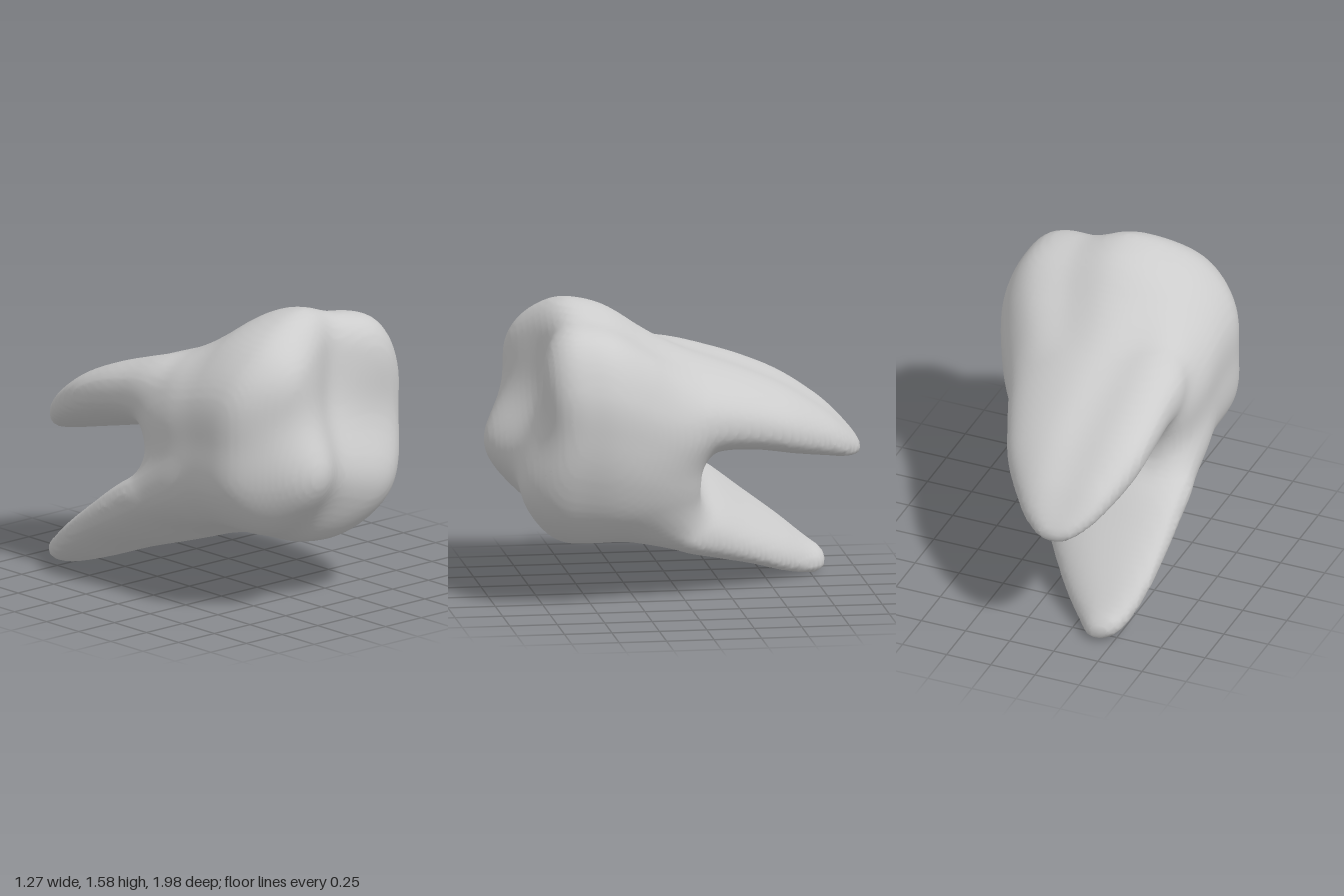
import * as THREE from 'three';

// Smooth intersection and union of signed fields
const smax = (a, b, k) => {
  const h = Math.max(k - Math.abs(a - b), 0) / k;
  return Math.max(a, b) + h * h * k / 4;
};
const smin = (a, b, k) => -smax(-a, -b, k);
const bump = (d2, s) => Math.exp(-d2 / (s * s));

// Sections along z: [z, xLeft, xRight, yLow, yHigh]
const crownSections = [
  [-0.2, -0.48, 0.26, 0.38, 1.12], [0, -0.56, 0.41, 0.3, 1.26], [0.2, -0.6, 0.55, 0.3, 1.41],
  [0.4, -0.6, 0.63, 0.3, 1.54], [0.6, -0.6, 0.63, 0.3, 1.585], [0.8, -0.58, 0.62, 0.33, 1.56],
  [1.0, -0.5, 0.57, 0.42, 1.5],
];
const upperRootSections = [
  [-1.0, -0.32, -0.18, 0.65, 0.74], [-0.9, -0.42, -0.05, 0.66, 0.85], [-0.8, -0.48, 0.04, 0.68, 0.94],
  [-0.6, -0.55, 0.18, 0.72, 1.07], [-0.4, -0.57, 0.27, 0.76, 1.16], [-0.2, -0.57, 0.35, 0.77, 1.23],
  [0, -0.57, 0.43, 0.72, 1.29], [0.3, -0.5, 0.45, 0.7, 1.35],
];
const lowerRootSections = [
  [-0.84, -0.49, -0.37, 0.01, 0.1], [-0.75, -0.55, -0.3, 0, 0.16], [-0.6, -0.6, -0.16, 0.04, 0.28],
  [-0.4, -0.625, 0, 0.115, 0.43], [-0.2, -0.63, 0.14, 0.175, 0.58], [0, -0.62, 0.27, 0.24, 0.68],
  [0.3, -0.5, 0.25, 0.36, 0.75],
];

// Crown outline: relative radius at sixteen equal angles
const outline = [1, 1.07, 1.1, 0.965, 0.99, 0.99, 1.02, 1.045, 1, 1.05, 1.02, 0.94, 0.98, 1.04, 1.04, 1];
function outlineRadius(angle) {
  const t = ((angle / (2 * Math.PI) + 1) % 1) * 16;
  const i = Math.floor(t), f = t - i;
  const [a, b, c, d] = [15, 0, 1, 2].map((o) => outline[(i + o) % 16]);
  return b + 0.5 * f * (c - a + f * (2 * a - 5 * b + 4 * c - d + f * (3 * (b - c) + d - a)));
}

// Centre and half sizes of the section at z, eased smoothly between stations
function sectionAt(table, z) {
  let i = 0;
  while (i < table.length - 2 && z > table[i + 1][0]) i++;
  const p = table[i], q = table[i + 1];
  const o = table[Math.max(i - 1, 0)], r = table[Math.min(i + 2, table.length - 1)];
  const dz = q[0] - p[0];
  const t = THREE.MathUtils.clamp((z - p[0]) / dz, 0, 1);
  const [, left, right, low, high] = p.map((v, j) => {
    const m0 = (q[j] - o[j]) / (q[0] - o[0]) * dz, m1 = (r[j] - v) / (r[0] - p[0]) * dz;
    const d = q[j] - v;
    return v + t * (m0 + t * (3 * d - 2 * m0 - m1 + t * (m0 + m1 - 2 * d)));
  });
  return { cx: (left + right) / 2, cy: (low + high) / 2, rx: (right - left) / 2, ry: (high - low) / 2 };
}

// Chewing surface: four cusps [x, y, height, spread] and a slanting groove
const cusps = [[-0.3, 1.3, 0.16, 0.32], [-0.2, 0.77, 0.28, 0.3], [0.33, 0.65, 0.16, 0.3], [0.42, 1.25, 0.06, 0.28]];
function biteHeight(x, y) {
  let h = 0.7;
  for (const [cx, cy, height, s] of cusps) h += height * bump((x - cx) ** 2 + (y - cy) ** 2, s);
  const groove = x - 0.14 + 0.25 * (1.4 - y);
  return h - 0.035 * bump(groove * groove, 0.14);
}

function crown(x, y, z) {
  const s = sectionAt(crownSections, z);
  const u = (x - s.cx) / s.rx, v = (y - s.cy) / s.ry;
  const side = (Math.hypot(u, v) / outlineRadius(Math.atan2(v, u)) - 1) * 0.6;
  const front = smax(side, z - biteHeight(x, y), 0.17);
  return smax(front, -0.09 - z, 0.15);
}

// Broad tapering root: slope tilts the section, groove dents its upper face
function root(table, slope, groove, x, y, z) {
  const s = sectionAt(table, z);
  const tilt = slope * s.rx;
  const ry = Math.sqrt(Math.max(s.ry * s.ry - tilt * tilt, 0.0009));
  let v = y - s.cy - slope * (x - s.cx);
  if (v > 0) v += groove * bump((x + 0.24) ** 2, 0.13) * Math.min(1, v / ry);
  const u = Math.abs((x - s.cx) / s.rx), w = Math.abs(v / ry);
  const side = (Math.pow(u ** 2.3 + w ** 2.3, 1 / 2.3) - 1) * Math.min(s.rx, ry);
  const capped = smax(side, table[0][0] - z, 0.05);
  return smax(capped, z - 0.3, 0.15);
}

function tooth(x, y, z) {
  const roots = smin(
    root(upperRootSections, -0.16, 0.03, x, y, z),
    root(lowerRootSections, -0.25, 0, x, y, z), 0.08);
  return smin(crown(x, y, z), roots, 0.1);
}

// Smooth quad skin over the zero level of a field
function skin(field, min, max, step) {
  const n = min.map((m, i) => Math.ceil((max[i] - m) / step) + 1);
  const stride = [1, n[0], n[0] * n[1]];
  const values = new Float32Array(n[0] * n[1] * n[2]);
  const eachCell = (fn) => {
    for (let k = 0; k < n[2]; k++)
      for (let j = 0; j < n[1]; j++)
        for (let i = 0; i < n[0]; i++) fn([i, j, k], i + j * stride[1] + k * stride[2]);
  };
  eachCell((c, id) => {
    values[id] = field(...c.map((v, a) => min[a] + v * step));
  });

  // One point per crossed cell, at the mean of its edge crossings
  const cellPoint = new Int32Array(values.length).fill(-1);
  const positions = [], index = [];
  eachCell((c, id) => {
    if (c.some((v, a) => v >= n[a] - 1)) return;
    const sum = [0, 0, 0];
    let count = 0;
    for (let corner = 0; corner < 8; corner++) {
      const bits = [corner & 1, (corner >> 1) & 1, corner >> 2];
      const at = id + bits[0] + bits[1] * stride[1] + bits[2] * stride[2];
      for (let a = 0; a < 3; a++) {
        if (bits[a]) continue;
        const f0 = values[at], f1 = values[at + stride[a]];
        if ((f0 < 0) === (f1 < 0)) continue;
        for (let e = 0; e < 3; e++) sum[e] += bits[e] + (e === a ? f0 / (f0 - f1) : 0);
        count++;
      }
    }
    if (!count) return;
    cellPoint[id] = positions.length / 3;
    sum.forEach((v, a) => positions.push(min[a] + (c[a] + v / count) * step));
  });

  // One quad around each crossed grid edge
  eachCell((c, id) => {
    for (let a = 0; a < 3; a++) {
      const b = (a + 1) % 3, d = (a + 2) % 3;
      if (c[a] >= n[a] - 1 || !c[b] || !c[d]) continue;
      const inside = values[id] < 0;
      if (inside === (values[id + stride[a]] < 0)) continue;
      const q = [id, id - stride[b], id - stride[b] - stride[d], id - stride[d]].map((v) => cellPoint[v]);
      if (!inside) q.reverse();
      index.push(q[0], q[1], q[2], q[0], q[2], q[3]);
    }
  });
  const geometry = new THREE.BufferGeometry();
  geometry.setAttribute('position', new THREE.Float32BufferAttribute(positions, 3));
  geometry.setIndex(index);
  geometry.computeVertexNormals();
  return geometry;
}

export function createModel() {
  const enamel = new THREE.MeshStandardMaterial({ color: 0xcccccc });
  enamel.name = 'enamel grey';

  const mesh = new THREE.Mesh(skin(tooth, [-0.78, -0.15, -1.15], [0.78, 1.74, 1.18], 0.025), enamel);
  mesh.name = 'crownAndRoots';
  const model = new THREE.Group();
  model.name = 'molarTooth';
  model.add(mesh);
  return model;
}
